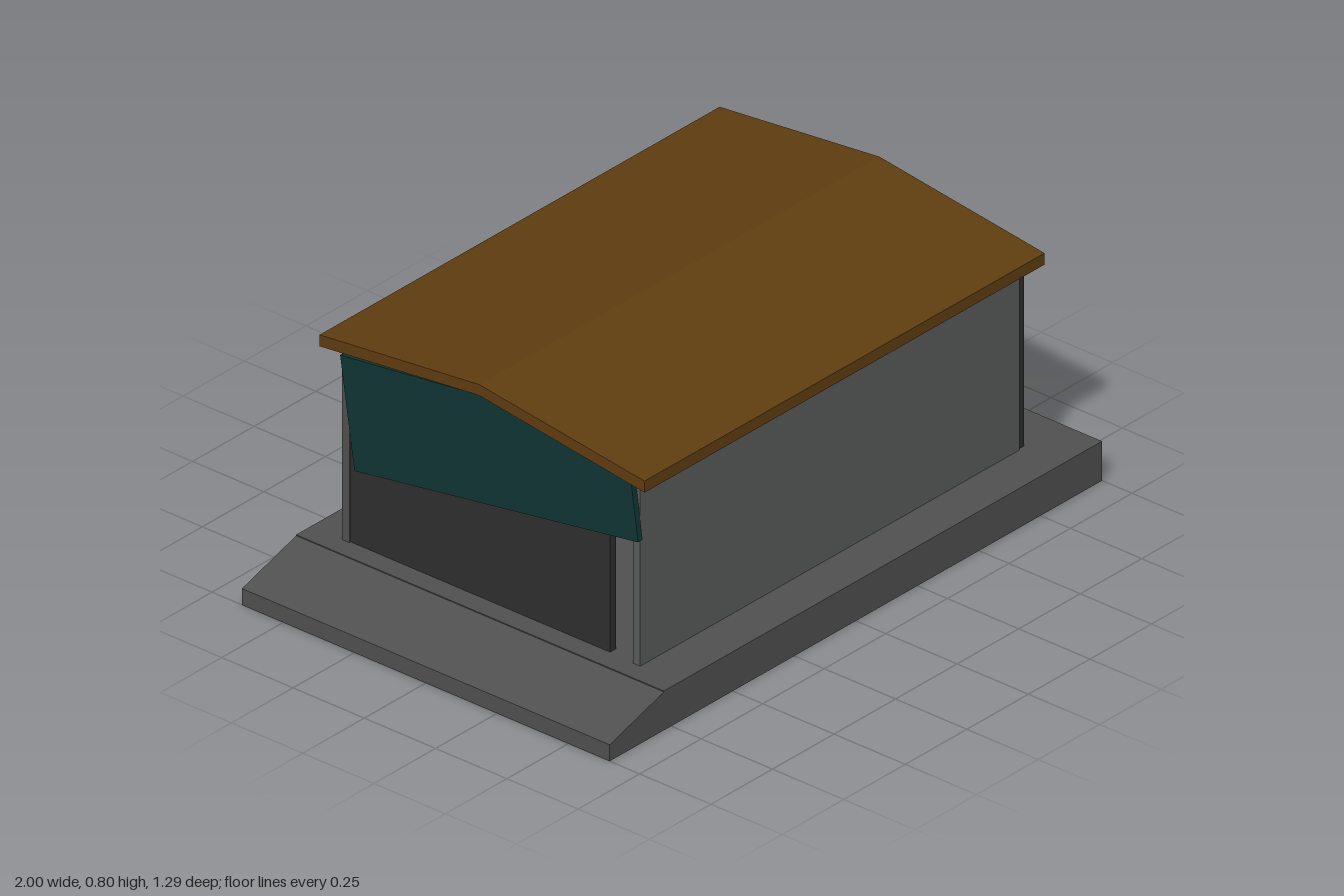
import * as THREE from 'three';

const mat = (color) => new THREE.MeshStandardMaterial({ color, flatShading: true });
const concrete = mat(0x505050);
const frontPaint = mat(0x585c5a);
const darkPaint = mat(0x2e2e2e);
const roofPaint = mat(0x5f3d10);
const doorPaint = mat(0x103434);

function extrude(points, depth) {
  const shape = new THREE.Shape(points.map(([a, b]) => new THREE.Vector2(a, b)));
  return new THREE.ExtrudeGeometry(shape, { depth, bevelEnabled: false });
}

export function createModel() {
  const model = new THREE.Group();

  const add = (name, geometry, material) => {
    const mesh = new THREE.Mesh(geometry, material);
    mesh.name = name;
    model.add(mesh);
  };

  // Box given by its limits on each axis
  const box = (name, [x0, x1], [y0, y1], [z0, z1], material) => {
    const g = new THREE.BoxGeometry(x1 - x0, y1 - y0, z1 - z0);
    g.translate((x0 + x1) / 2, (y0 + y1) / 2, (z0 + z1) / 2);
    add(name, g, material);
  };

  // Outline in (z, y) extruded between two x positions
  const acrossX = (name, points, x0, x1, material) => {
    const g = extrude(points, x1 - x0);
    g.rotateY(-Math.PI / 2).translate(x1, 0, 0);
    add(name, g, material);
  };

  // Ground slab and the entry ramp at its end
  box('slab', [-0.78, 1], [0, 0.12], [-0.645, 0.645], concrete);
  const ramp = extrude([[-1, 0], [-0.78, 0], [-0.78, 0.117], [-1, 0.05]], 1.29);
  add('ramp', ramp.translate(0, 0, -0.645), concrete);

  // Long side walls
  box('frontWall', [-0.72, 0.82], [0.12, 0.69], [0.485, 0.51], frontPaint);
  box('backWall', [-0.72, 0.82], [0.12, 0.7], [-0.535, -0.51], concrete);

  // Gabled end wall, and the entry wall that leaves a narrow gap beside the front wall
  acrossX('endWall', [[0.505, 0.12], [0.505, 0.692], [-0.02, 0.765], [-0.51, 0.717], [-0.51, 0.12]],
    0.82, 0.845, darkPaint);
  acrossX('entryWall', [[0.4, 0.12], [0.4, 0.705], [-0.02, 0.762], [-0.51, 0.715], [-0.51, 0.12]],
    -0.715, -0.69, darkPaint);

  // Slanted door panel hanging under the roof
  acrossX('door', [[0.52, 0.51], [0.495, 0.69], [-0.02, 0.755], [-0.525, 0.695], [-0.475, 0.36]],
    -0.74, -0.722, doorPaint);

  // Shallow two-slope roof
  acrossX('roof', [[0.56, 0.685], [0.56, 0.72], [-0.02, 0.8], [-0.58, 0.745], [-0.58, 0.71], [-0.02, 0.767]],
    -0.76, 0.865, roofPaint);

  return model;
}
